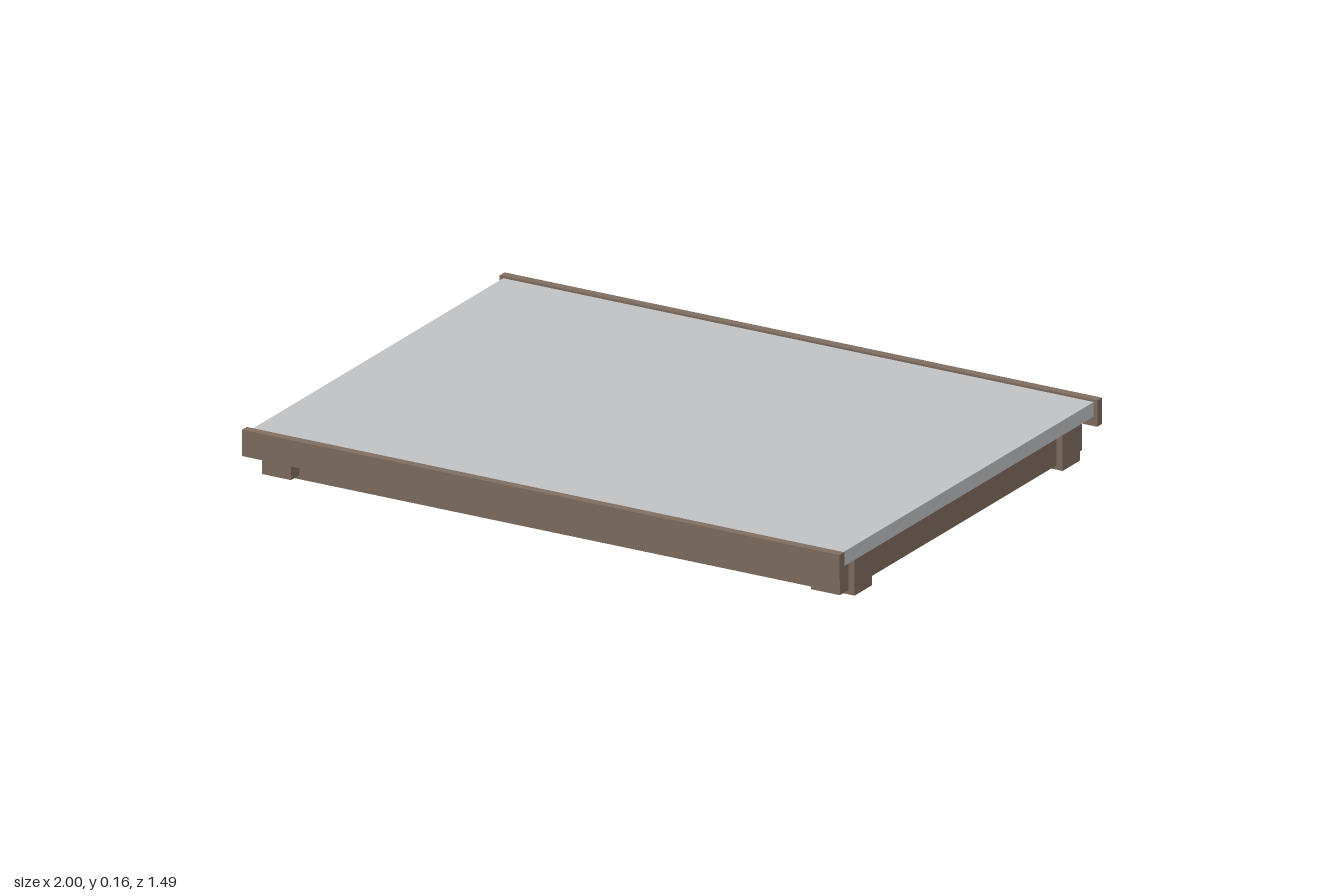
import * as THREE from 'three';

export function createModel() {
  const group = new THREE.Group();
  const wood = new THREE.MeshStandardMaterial({ color: 0x806e61 });
  wood.name = 'brown wood';
  const panel = new THREE.MeshStandardMaterial({ color: 0xc0c2c4 });
  panel.name = 'pale grey panel';

  // Box given by its limits on each axis
  function box(name, material, [x0, x1], [y0, y1], [z0, z1]) {
    const mesh = new THREE.Mesh(new THREE.BoxGeometry(x1 - x0, y1 - y0, z1 - z0), material);
    mesh.position.set((x0 + x1) / 2, (y0 + y1) / 2, (z0 + z1) / 2);
    mesh.name = name;
    group.add(mesh);
  }
  const mirror = (a, b, s) => (s > 0 ? [a, b] : [-b, -a]);

  // Flat top panel
  box('topPanel', panel, [-0.988, 0.988], [0.11, 0.155], [-0.716, 0.716]);

  for (const s of [1, -1]) {
    const end = s > 0 ? 'front' : 'back';
    const side = s > 0 ? 'left' : 'right';
    // Edge rails along the front and back
    box(end + 'Rail', wood, [-1, 1], [0.081, 0.162], mirror(0.716, 0.743, s));
    // Long beams under the panel, their ends passing the side beams
    box(end + 'Beam', wood, [-0.988, 0.988], [0, 0.11], mirror(0.54, 0.637, s));
    // Side beams, slightly raised, their ends passing the long beams
    box(side + 'Beam', wood, mirror(0.87, 0.967, s), [0.013, 0.11], [-0.685, 0.685]);
  }
  return group;
}
